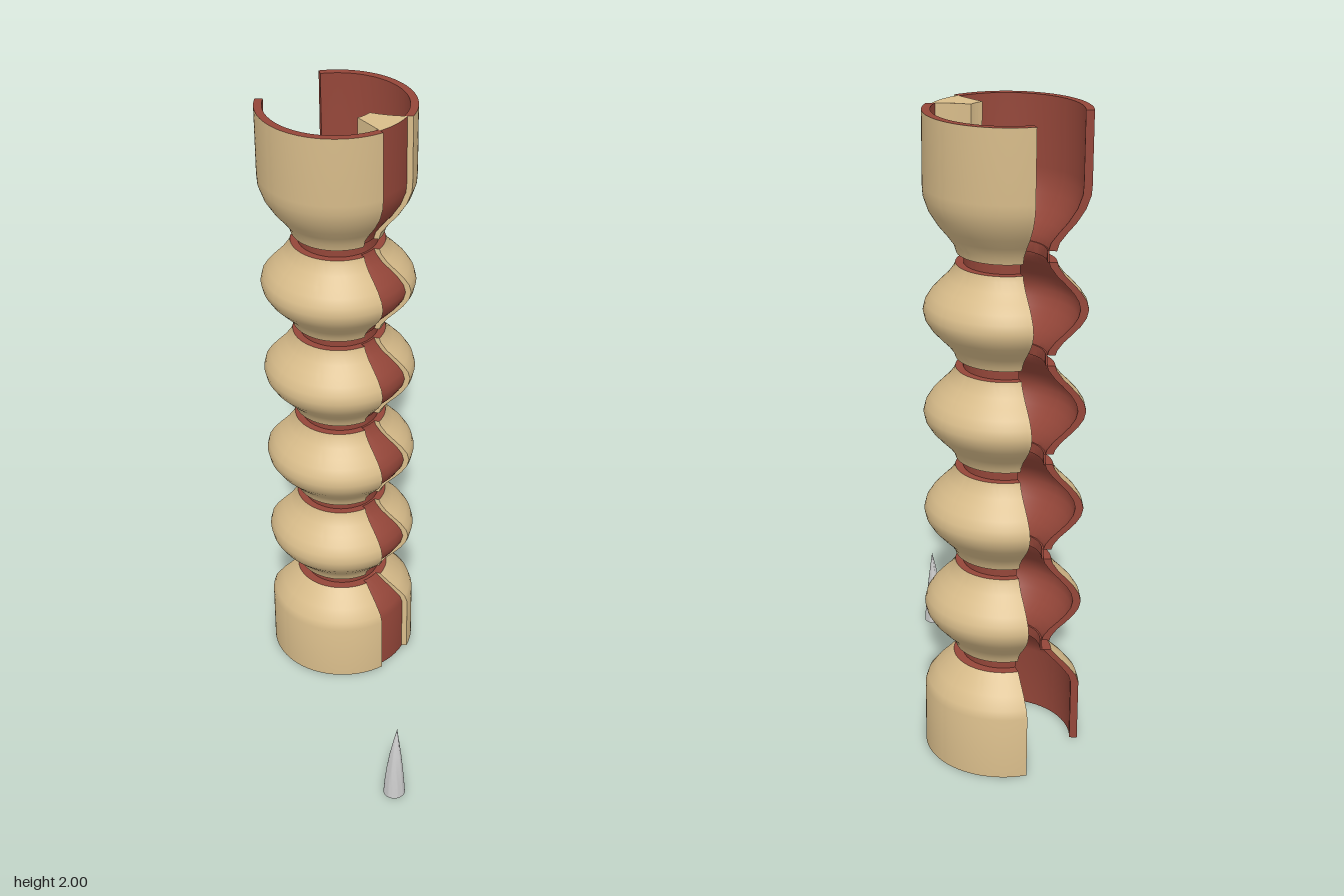
import * as THREE from 'three';
import { ParametricGeometry } from 'three/addons/geometries/ParametricGeometry.js';
import { toCreasedNormals } from 'three/addons/utils/BufferGeometryUtils.js';

const tan = new THREE.MeshStandardMaterial({ color: 0xd8bc8a, side: THREE.DoubleSide });
const red = new THREE.MeshStandardMaterial({ color: 0x944639, side: THREE.DoubleSide });
const grey = new THREE.MeshStandardMaterial({ color: 0xcccccc });

const NECK = 0.122, BORE = 0.116, WALL = 0.024, RECESS = 0.016, HALF_GROOVE = 0.0165;

// Angles are measured from +z towards +x; the slot sides depend on the radius.
const slotLeft = (r) => Math.asin(-0.008 / r);
const slotRight = (r) => 0.365 + (r - 0.126) * 1.67;
const gapStart = () => THREE.MathUtils.degToRad(157);
const gapEnd = () => THREE.MathUtils.degToRad(225.5);
const slotLeftTurn = (r) => slotLeft(r) + Math.PI * 2;

// Outer profile, split into drums and bulbs separated by grooves; points are [r, y].
function makeSections() {
  const half = [[0.145, 0.14], [0.15, 0.125], [0.168, 0.1], [0.193, 0.075], [0.216, 0.05], [0.232, 0.025]];
  const bulb = (y) => [
    ...half.map(([r, d]) => [r, y - d]),
    [0.238, y],
    ...half.slice().reverse().map(([r, d]) => [r, y + d]),
  ];
  const sections = [[[0.238, 0], [0.238, 0.2], [0.23, 0.225], [0.202, 0.26], [0.172, 0.29], [0.15, 0.3135]]];
  for (let i = 0; i < 4; i++) sections.push(bulb(0.33 + 0.3125 * (i + 0.5)));
  sections.push([[0.143, 1.5965], [0.15, 1.62], [0.172, 1.65], [0.197, 1.68], [0.222, 1.72], [0.236, 1.76], [0.238, 1.79], [0.238, 2]]);
  return sections;
}

// Smooth sheet from fn(u, v) -> [x, y, z].
function sheet(name, material, nu, nv, fn) {
  const geo = new ParametricGeometry((u, v, p) => p.set(...fn(u, v)), nu, nv);
  const mesh = new THREE.Mesh(toCreasedNormals(geo, 0.6), material);
  mesh.name = name;
  return mesh;
}

const polar = (r, a, y) => [r * Math.sin(a), y, r * Math.cos(a)];
const lerp = THREE.MathUtils.lerp;

// Profile turned between two angles.
function turned(name, material, profile, a, b, segments) {
  const n = profile.length - 1;
  return sheet(name, material, segments, n, (u, v) => {
    const [r, y] = profile[Math.round(v * n)];
    return polar(r, lerp(a(r), b(r), u), y);
  });
}

// Upright face joining an inner and an outer profile at one angle.
function sideFace(name, material, inner, outer, angle) {
  const n = outer.length - 1;
  return sheet(name, material, 4, n, (u, v) => {
    const i = Math.round(v * n);
    const r = lerp(inner[i][0], outer[i][0], u);
    return polar(r, angle(r), outer[i][1]);
  });
}

// Flat face at one height between two radii.
function capFace(name, material, r0, r1, a, b, y, segments) {
  return sheet(name, material, segments, 4, (u, v) => {
    const r = lerp(r0, r1, v);
    return polar(r, lerp(a(r), b(r), u), y);
  });
}

function createModel() {
  const model = new THREE.Group();
  const column = new THREE.Group();
  column.name = 'column';
  column.position.set(0.058, 0, -0.27);
  model.add(column);

  const sections = makeSections();
  const outer = [];
  const grooves = [];
  sections.forEach((s, i) => {
    outer.push(...s);
    if (i === sections.length - 1) return;
    const y = 0.33 + 0.3125 * i;
    const floor = [[NECK, y - HALF_GROOVE], [NECK, y + HALF_GROOVE]];
    grooves.push([s[s.length - 1], ...floor, sections[i + 1][0]]);
    outer.push(...floor);
  });
  const inner = outer.map(([r, y]) => [Math.max(BORE, r - WALL), y]);
  const panel = outer.map(([r, y]) => [Math.max(NECK, r - RECESS), y]);
  const core = outer.map(([, y]) => [BORE, y]);

  // Two shell halves between the front slot and the gap at the back
  const halves = [
    { name: 'leftShell', a: slotRight, b: gapStart, cut: gapStart },
    { name: 'rightShell', a: gapEnd, b: slotLeftTurn, cut: gapEnd },
  ];
  for (const { name, a, b, cut } of halves) {
    const shell = new THREE.Group();
    shell.name = name;
    sections.forEach((s) => shell.add(turned('outerSurface', tan, s, a, b, 40)));
    grooves.forEach((g) => shell.add(turned('neckGroove', red, g, a, b, 40)));
    shell.add(turned('innerSurface', red, inner, a, b, 40));
    shell.add(sideFace('backCut', red, inner, outer, cut));
    for (const y of [0, 2]) shell.add(capFace('rim', red, 0.214, 0.238, a, b, y, 40));
    column.add(shell);
  }

  // Solid rib filling the front slot, with a recessed red front
  const rib = new THREE.Group();
  rib.name = 'frontRib';
  rib.add(turned('ribFront', red, panel, slotLeft, slotRight, 8));
  rib.add(turned('ribBack', tan, core, slotLeft, slotRight, 8));
  rib.add(sideFace('ribLeftSide', tan, core, outer, slotRight));
  rib.add(sideFace('ribRightSide', tan, core, outer, slotLeft));
  for (const y of [0, 2]) rib.add(capFace('ribCap', tan, BORE, 0.222, slotLeft, slotRight, y, 8));
  column.add(rib);

  // Small separate spike, leaning slightly
  const height = 0.265;
  const profile = [[0, 0], [0.034, 0], [0.0305, 0.05], [0.025, 0.105], [0.018, 0.16], [0.009, 0.215], [0, height]];
  const spikeGeo = new THREE.LatheGeometry(profile.map(([r, y]) => new THREE.Vector2(r, y)), 32);
  const pos = spikeGeo.attributes.position;
  for (let i = 0; i < pos.count; i++) {
    pos.setX(i, pos.getX(i) + 0.01 * (pos.getY(i) / height) ** 2);
  }
  const spike = new THREE.Mesh(toCreasedNormals(spikeGeo, 0.6), grey);
  spike.name = 'spike';
  spike.position.set(-0.265, 0, 0.452);
  model.add(spike);

  return model;
}

export { createModel };
